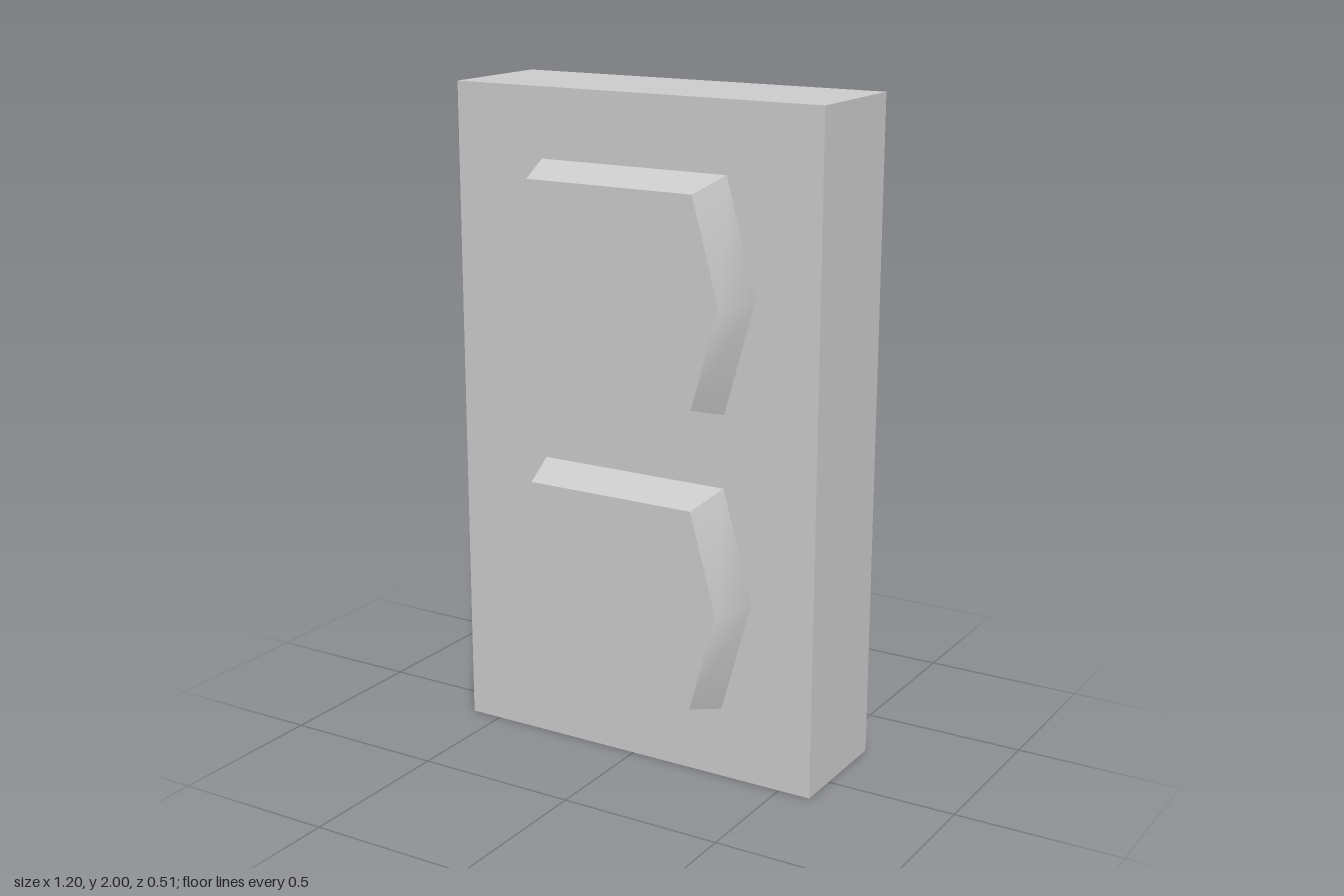
import * as THREE from 'three';
import { toCreasedNormals } from 'three/addons/utils/BufferGeometryUtils.js';

const BACK = -0.255, FACE = 0.125, FRONT = 0.255;
const TAPER = 0.887;

// Six-sided raised panel, extruded and then narrowed towards its front face
function panelGeometry() {
  const outline = [[0.4, 0], [0.305, 0.34], [-0.305, 0.34], [-0.4, 0], [-0.305, -0.34], [0.305, -0.34]];
  const shape = new THREE.Shape(outline.map(([x, y]) => new THREE.Vector2(x, y)));
  const depth = FRONT - FACE;
  const geometry = new THREE.ExtrudeGeometry(shape, { depth, bevelEnabled: false });
  const pos = geometry.attributes.position;
  for (let i = 0; i < pos.count; i++) {
    const s = THREE.MathUtils.lerp(1, TAPER, pos.getZ(i) / depth);
    pos.setXY(i, pos.getX(i) * s, pos.getY(i) * s);
  }
  // The shallow corner at each side is smooth, all other edges are sharp
  return toCreasedNormals(geometry, 0.7);
}

export function createModel() {
  const model = new THREE.Group();
  model.name = 'panelledBlock';
  const material = new THREE.MeshStandardMaterial({ color: 0xcccccc });

  // Main slab
  const slab = new THREE.Mesh(new THREE.BoxGeometry(1.2, 2, FACE - BACK), material);
  slab.name = 'slab';
  slab.position.set(0, 1, (FACE + BACK) / 2);
  model.add(slab);

  // Two matching panels, one above the other
  const geometry = panelGeometry();
  for (const [name, y] of [['lowerPanel', 0.555], ['upperPanel', 1.453]]) {
    const panel = new THREE.Mesh(geometry, material);
    panel.name = name;
    panel.position.set(0, y, FACE);
    model.add(panel);
  }
  return model;
}
